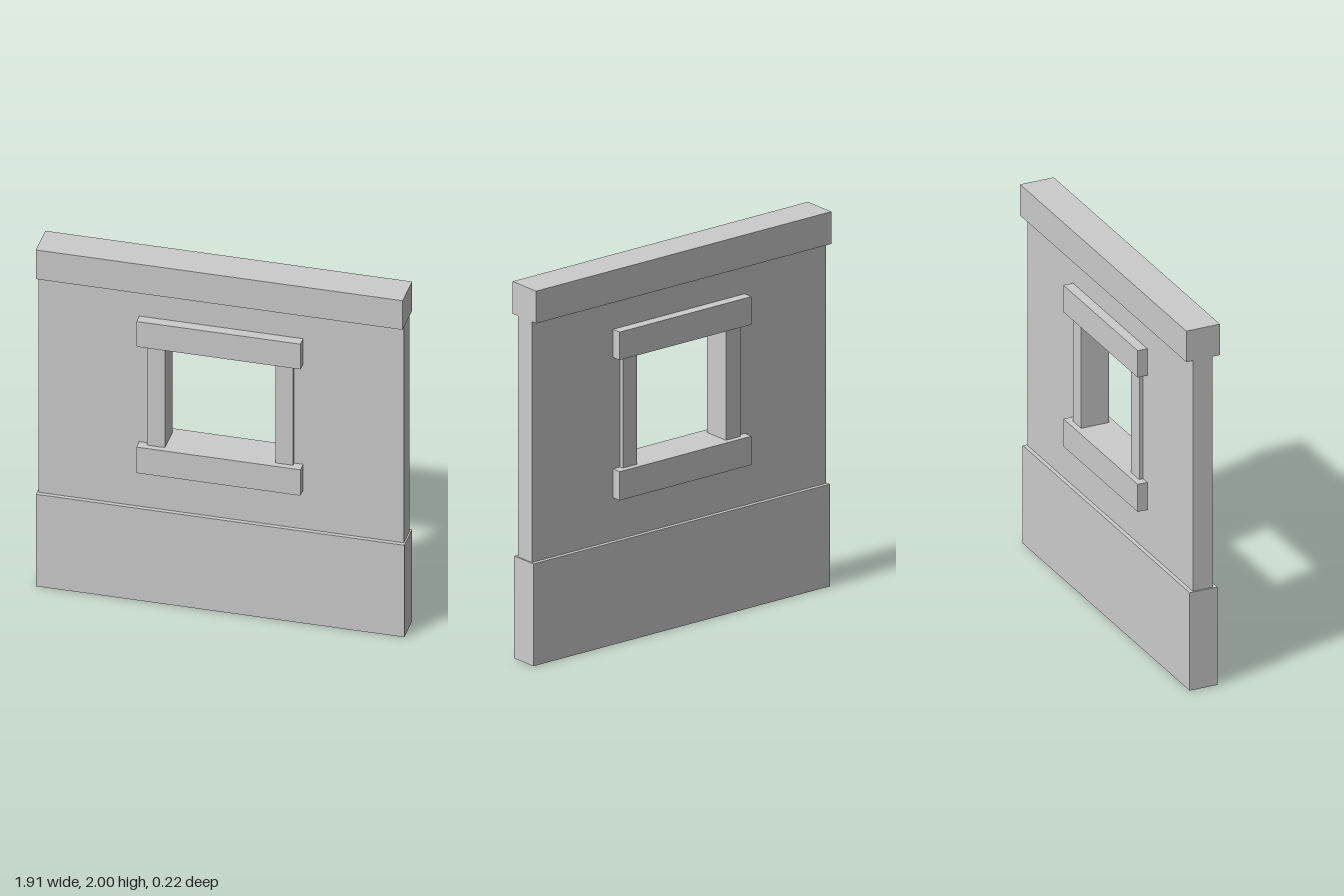
import * as THREE from 'three';

export function createModel() {
  const group = new THREE.Group();
  const material = new THREE.MeshStandardMaterial({ color: 0xcccccc, flatShading: true, side: THREE.DoubleSide });

  const add = (name, geometry) => {
    const mesh = new THREE.Mesh(geometry, material);
    mesh.name = name;
    group.add(mesh);
    return mesh;
  };
  // Box from its x and y limits, centred on z = 0
  const block = (name, x0, x1, y0, y1, depth) => {
    const mesh = add(name, new THREE.BoxGeometry(x1 - x0, y1 - y0, depth));
    mesh.position.set((x0 + x1) / 2, (y0 + y1) / 2, 0);
    return mesh;
  };
  const rectangle = (path, halfWidth, y0, y1) =>
    path.moveTo(-halfWidth, y0).lineTo(halfWidth, y0).lineTo(halfWidth, y1).lineTo(-halfWidth, y1).closePath();

  // Wall panel with a window hole whose edge is buried inside the frame
  const wallDepth = 0.11;
  const panel = rectangle(new THREE.Shape(), 0.947, 0.544, 1.828);
  panel.holes.push(rectangle(new THREE.Path(), 0.33, 0.85, 1.6));
  const wall = new THREE.ExtrudeGeometry(panel, { depth: wallDepth, bevelEnabled: false });
  add('wallPanel', wall.translate(0, 0, -wallDepth / 2));

  // Plinth: a hollow box, open underneath
  const plinth = block('plinth', -0.955, 0.955, 0, 0.544, 0.154);
  const index = Array.from(plinth.geometry.index.array);
  index.splice(18, 6); // bottom face
  plinth.geometry.setIndex(index);
  plinth.geometry.clearGroups();

  // Beam along the top
  block('topBeam', -0.951, 0.951, 1.828, 2, 0.188);

  // Window frame, running through the wall
  block('windowSill', -0.425, 0.425, 0.773, 0.926, 0.218);
  block('windowLintel', -0.425, 0.425, 1.52, 1.669, 0.218);
  block('leftJamb', 0.286, 0.378, 0.926, 1.52, 0.154);
  block('rightJamb', -0.378, -0.286, 0.926, 1.52, 0.154);

  return group;
}
